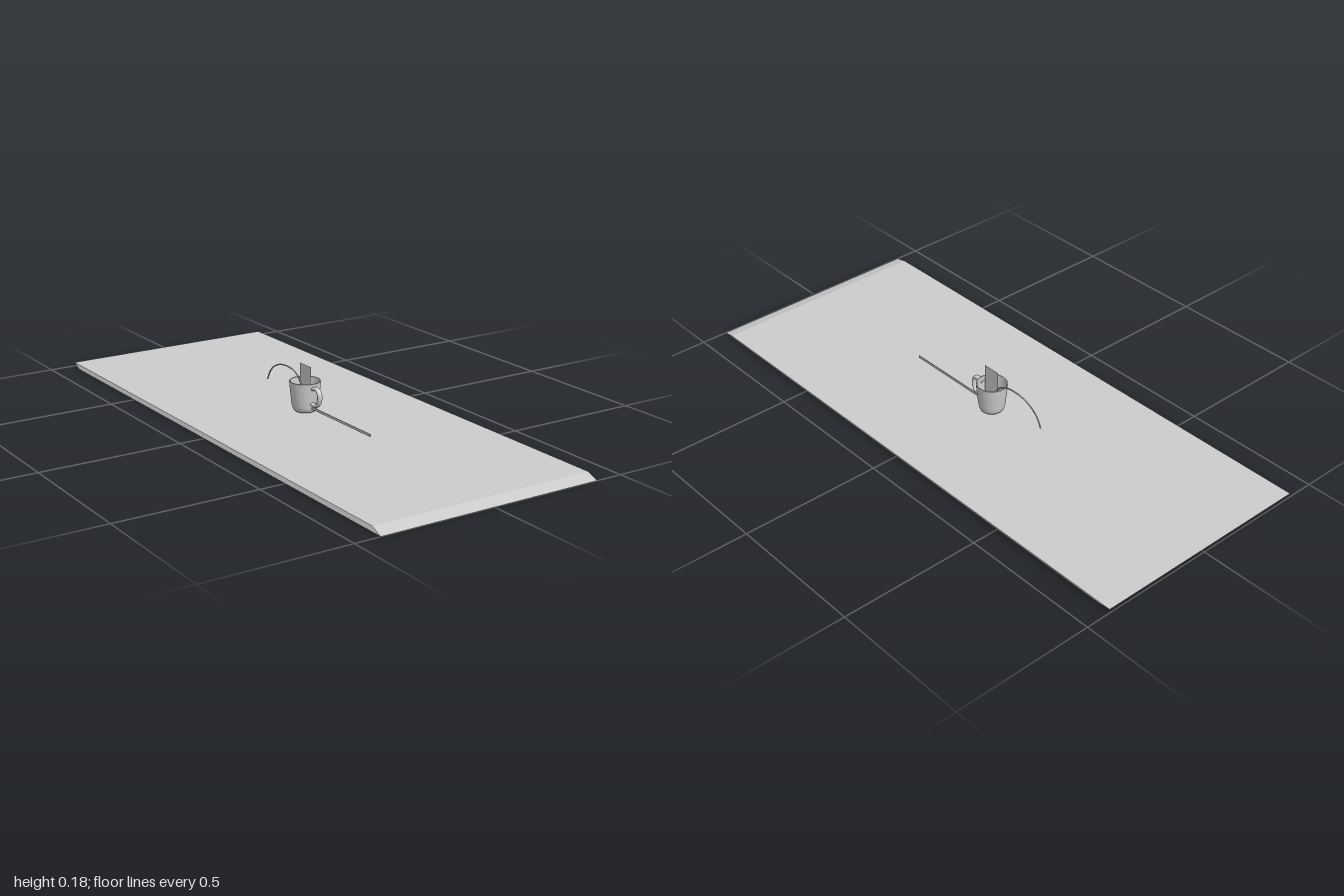
import * as THREE from 'three';

export function createModel() {
  const group = new THREE.Group();
  const grey = new THREE.MeshStandardMaterial({ color: 0xcccccc });
  const greyDouble = new THREE.MeshStandardMaterial({ color: 0xcccccc, side: THREE.DoubleSide });
  const X = 0.004, Z = -0.026; // cup axis

  function add(name, geometry, material = grey, x = 0, y = 0, z = 0) {
    const mesh = new THREE.Mesh(geometry, material);
    mesh.name = name;
    mesh.position.set(x, y, z);
    group.add(mesh);
    return mesh;
  }

  // Thin board, sheared so that its ends and sides slope
  const board = new THREE.BoxGeometry(0.814, 0.014, 1.95);
  const p = board.attributes.position;
  for (let i = 0; i < p.count; i++) {
    const s = Math.sign(p.getY(i));
    p.setX(i, p.getX(i) + s * 0.003);
    p.setZ(i, p.getZ(i) - s * 0.025);
  }
  board.computeVertexNormals();
  add('board', board, grey, 0, 0.007, 0);

  // Cup: outer wall, rounded rim, inner wall and floor in one profile
  const profile = [
    [0, 0.015], [0.027, 0.015], [0.035, 0.018], [0.041, 0.024], [0.0445, 0.033],
    [0.0465, 0.045], [0.051, 0.085], [0.0545, 0.123], [0.054, 0.125], [0.0505, 0.125],
    [0.0495, 0.123], [0.046, 0.085], [0.042, 0.045], [0.038, 0.032], [0.032, 0.026], [0, 0.025],
  ].map(([r, y]) => new THREE.Vector2(r, y));
  add('cup', new THREE.LatheGeometry(profile, 48), grey, X, 0, Z);

  // Handle: flattened tube looping out to the front
  const handlePath = new THREE.CatmullRomCurve3([
    [0.104, 0.045], [0.110, 0.062], [0.109, 0.080], [0.096, 0.090],
    [0.076, 0.090], [0.058, 0.081], [0.050, 0.064], [0.052, 0.044],
  ].map(([y, z]) => new THREE.Vector3(0, y, z)));
  const handle = add('handle', new THREE.TubeGeometry(handlePath, 40, 0.0065, 12), grey, X, 0, Z);
  handle.scale.x = 1.5;

  // Upright card standing in the cup
  const card = add('card', new THREE.PlaneGeometry(0.067, 0.11), greyDouble, X, 0.125, Z + 0.002);
  card.rotation.y = Math.PI / 2;

  // Straight thin rod in front of the cup
  add('rod', new THREE.BoxGeometry(0.004, 0.008, 0.345), grey, X, 0.037, 0.19);

  // Curved string arching out of the back of the cup
  const arc = new THREE.CatmullRomCurve3([
    [0.105, -0.05], [0.125, -0.066], [0.142, -0.1], [0.147, -0.14],
    [0.142, -0.185], [0.125, -0.225], [0.1, -0.252], [0.068, -0.269],
  ].map(([y, z]) => new THREE.Vector3(X, y, z)));
  add('curvedString', new THREE.TubeGeometry(arc, 40, 0.0025, 8), greyDouble);

  return group;
}
